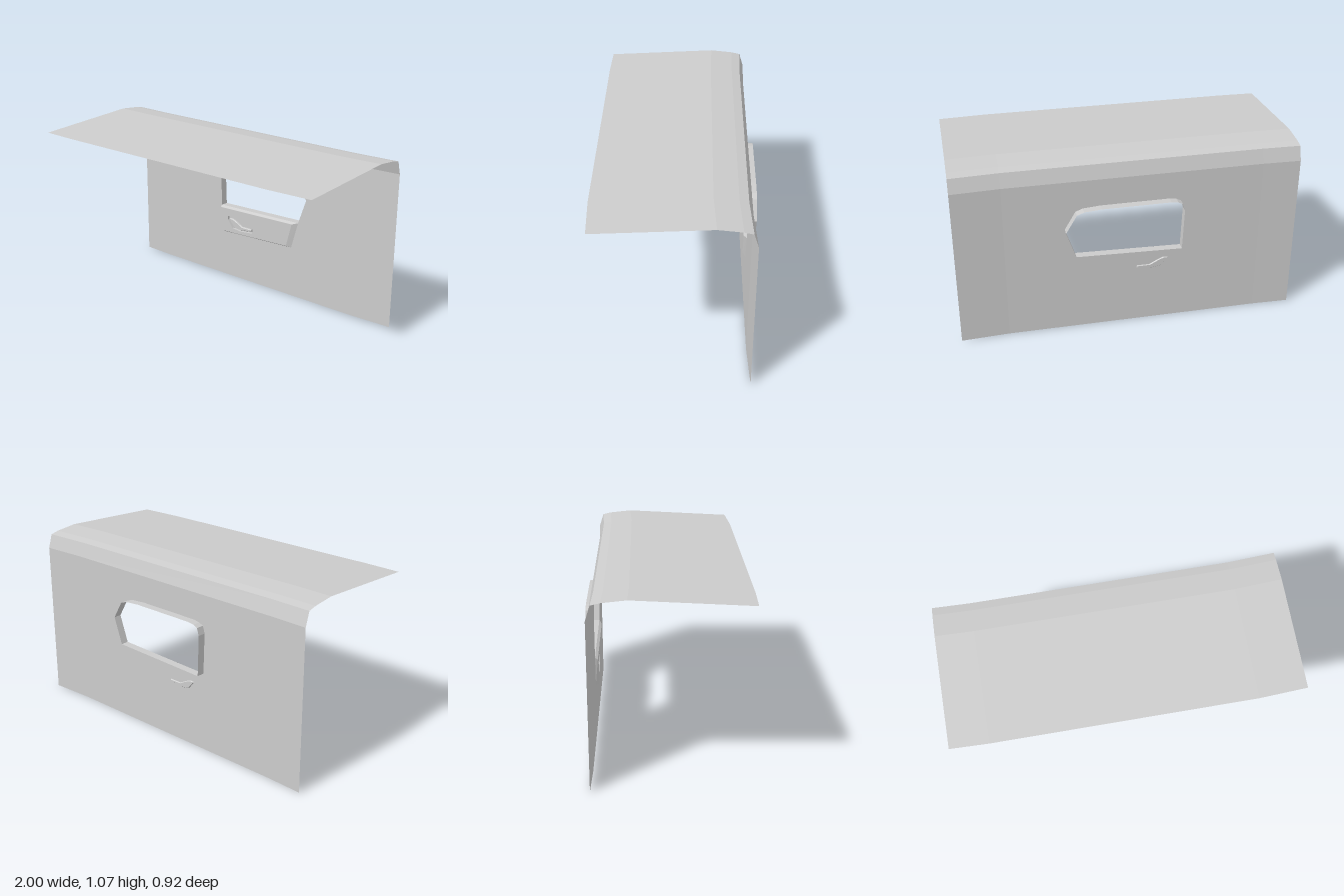
import * as THREE from 'three';

const WALL_Z = -0.412;
const material = new THREE.MeshStandardMaterial({
  color: 0xcccccc, flatShading: true, side: THREE.DoubleSide,
});

function part(name, geometry, z = 0) {
  const mesh = new THREE.Mesh(geometry, material);
  mesh.name = name;
  mesh.position.z = z;
  return mesh;
}

// Flat quads, each given as four corners [x, y, z]
function quads(list) {
  const pos = [];
  for (const [a, b, c, d] of list) pos.push(...a, ...b, ...c, ...a, ...c, ...d);
  const g = new THREE.BufferGeometry();
  g.setAttribute('position', new THREE.Float32BufferAttribute(pos, 3));
  g.computeVertexNormals();
  return g;
}

// Open band between two outlines with the same number of corners
function band(front, zFront, back, zBack) {
  return quads(front.map((p, i) => {
    const j = (i + 1) % front.length;
    return [[...p, zFront], [...front[j], zFront], [...back[j], zBack], [...back[i], zBack]];
  }));
}

function shapeOf(points, hole) {
  const shape = new THREE.Shape(points.map(p => new THREE.Vector2(...p)));
  if (hole) shape.holes.push(new THREE.Path(hole.map(p => new THREE.Vector2(...p))));
  return shape;
}

export function createModel() {
  const model = new THREE.Group();
  model.name = 'sidePanel';

  // Window opening, anticlockwise from the lower left
  const opening = [
    [-0.3, 0.487], [0.32, 0.505], [0.375, 0.665], [0.312, 0.773], [0.27, 0.789],
    [0.17, 0.797], [-0.23, 0.797], [-0.27, 0.791], [-0.297, 0.778], [-0.31, 0.735],
  ];

  // Roof and wall sheet: profile [z, y] swept along x, ends swept back
  const profile = [[0.455, 1.034], [-0.2, 1.069], [-0.335, 1.055], [-0.386, 1.043],
    [WALL_Z, 0.96], [WALL_Z, 0]];
  const columns = [[-1, -0.007], [-0.78, 0], [0.72, 0], [1, -0.014]];
  const sheet = [];
  for (let c = 0; c < columns.length - 1; c++) {
    const rows = c === 1 ? profile.length - 2 : profile.length - 1;
    for (let r = 0; r < rows; r++) {
      const at = (i, k) => [columns[i][0], profile[k][1], profile[k][0] + columns[i][1]];
      sheet.push([at(c, r), at(c, r + 1), at(c + 1, r + 1), at(c + 1, r)]);
    }
  }
  model.add(part('roofAndEnds', quads(sheet)));

  // Middle of the wall with the window cut out
  const wall = shapeOf([[-0.78, 0], [0.72, 0], [0.72, 0.96], [-0.78, 0.96]], opening);
  model.add(part('wall', new THREE.ShapeGeometry(wall), WALL_Z));

  // Window surround standing out behind the wall
  model.add(part('windowFrame', band(opening, WALL_Z, opening, -0.46)));

  // Raised trim pad under the window, with sloped edges and a recess
  const base = [[-0.28, 0.306], [0.272, 0.329], [0.32, 0.505], [-0.302, 0.487]];
  const face = [[-0.272, 0.316], [0.242, 0.338], [0.282, 0.492], [-0.297, 0.476]];
  const recess = [
    [-0.235, 0.402], [-0.195, 0.35], [-0.13, 0.342], [-0.03, 0.352],
    [-0.03, 0.404], [-0.07, 0.429], [-0.235, 0.427],
  ];
  const pad = new THREE.Group();
  pad.name = 'trimPad';
  pad.add(
    part('padFace', new THREE.ShapeGeometry(shapeOf(face, recess)), -0.396),
    part('padEdges', band(face, -0.396, base, WALL_Z)),
    part('handleRecess', band(recess, -0.396, recess, WALL_Z)),
  );
  model.add(pad);

  // Bent door lever, its back just showing through the wall
  const lever = shapeOf([
    [-0.228, 0.41], [-0.188, 0.358], [-0.13, 0.349], [-0.042, 0.358],
    [-0.042, 0.374], [-0.12, 0.374], [-0.165, 0.398], [-0.2, 0.413],
  ]);
  const leverGeometry = new THREE.ExtrudeGeometry(lever, {
    depth: 0.01, bevelEnabled: true, bevelThickness: 0.005, bevelSize: 0.004,
    bevelOffset: -0.004, bevelSegments: 1,
  });
  model.add(part('doorLever', leverGeometry, -0.413));

  return model;
}
